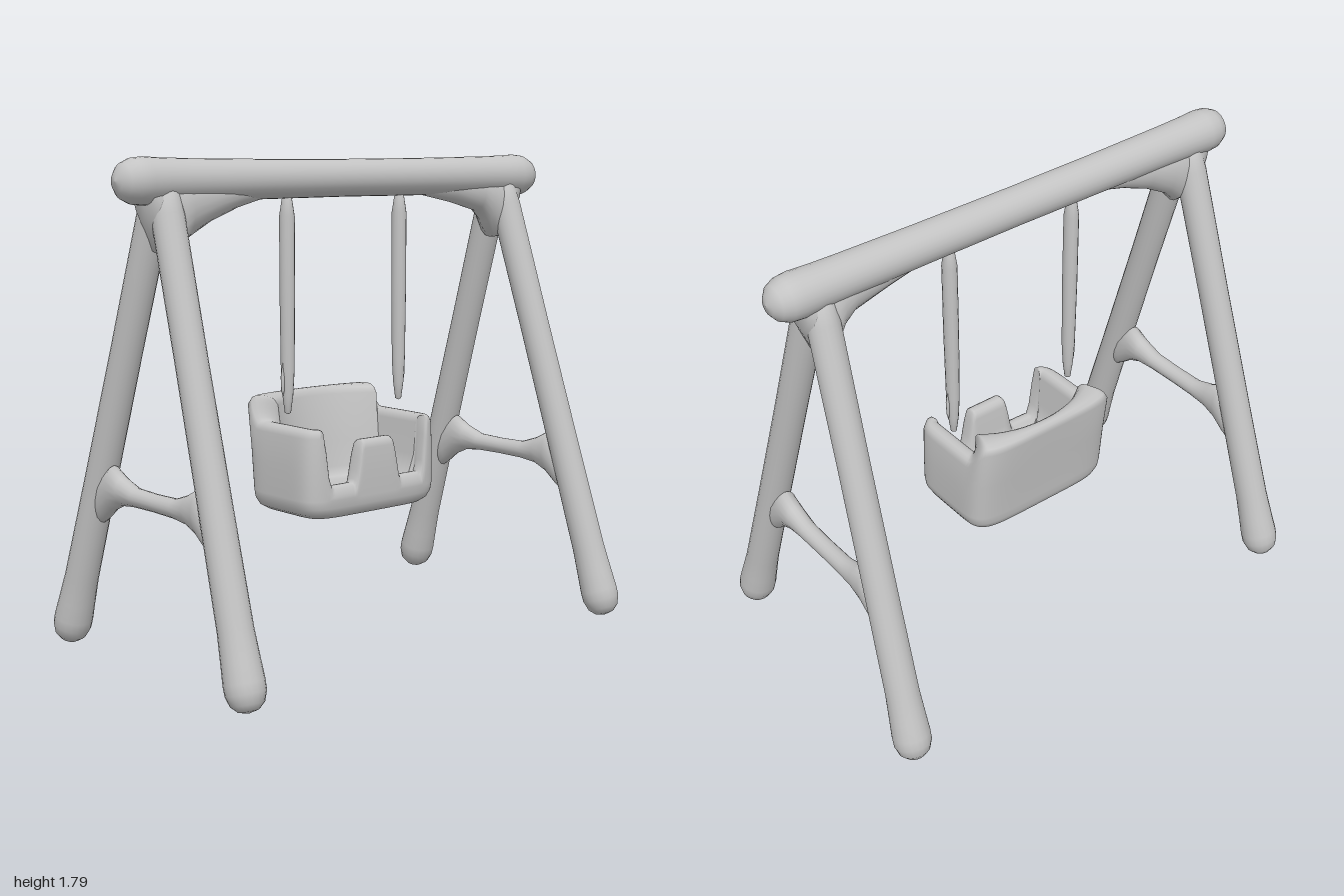
import * as THREE from 'three';

const V = (x, y, z) => new THREE.Vector3(x, y, z);
const smooth = (v, a, b) => THREE.MathUtils.smoothstep(v, a, b);

// Skin closed rings of points, fanning both ends shut
function loft(rings) {
  const n = rings[0].length, pos = [], idx = [];
  rings.forEach(r => r.forEach(p => pos.push(p.x, p.y, p.z)));
  for (let i = 0; i < rings.length - 1; i++) {
    for (let j = 0; j < n; j++) {
      const k = (j + 1) % n, a = i * n + j, b = i * n + k, c = b + n, d = a + n;
      idx.push(a, b, c, a, c, d);
    }
  }
  [0, rings.length - 1].forEach((i, end) => {
    const centre = rings[i].reduce((s, p) => s.add(p), V(0, 0, 0)).divideScalar(n);
    const c = pos.length / 3;
    pos.push(centre.x, centre.y, centre.z);
    for (let j = 0; j < n; j++) {
      const a = i * n + j, b = i * n + (j + 1) % n;
      if (end) idx.push(a, b, c); else idx.push(b, a, c);
    }
  });
  const g = new THREE.BufferGeometry();
  g.setAttribute('position', new THREE.Float32BufferAttribute(pos, 3));
  g.setIndex(idx);
  g.computeVertexNormals();
  return g;
}

// Ring from a function of angle
const ring = (n, f) => Array.from({ length: n }, (_, j) => f(j / n * Math.PI * 2));

// Turned rod: profile of [radius, height]
const turned = (profile, sides = 20) =>
  new THREE.LatheGeometry(profile.map(([r, y]) => new THREE.Vector2(r, y)), sides);

// Bucket seat: outer shell, rounded rim of varying height, hollow inside
function seatGeometry() {
  const n = 192, A = 0.32, B = 0.2, E = 6;
  const outline = ring(n, t => {
    const s = Math.sin(t), c = Math.cos(t);
    const r = Math.pow(Math.pow(Math.abs(s) / A, E) + Math.pow(Math.abs(c) / B, E), -1 / E);
    const x = r * s, z = r * c, ax = Math.abs(x);
    let h = 0.82 + 0.09 * smooth(-z, 0.1, 0.18);
    if (z > 0.12) {
      // leg openings either side of the front post
      h = ax < 0.16 ? 0.765 - 0.155 * smooth(ax, 0.07, 0.115)
        : 0.61 + 0.21 * smooth(ax, 0.225, 0.265);
    }
    const inner = {
      x: THREE.MathUtils.clamp(x, -0.245, 0.245),
      z: THREE.MathUtils.clamp(z, -0.14 + 0.07 * Math.pow(Math.min(ax, 0.245) / 0.245, 2), 0.135)
    };
    return { x, z, h, inner };
  });
  const lean = (z, y) => z - 0.04 * smooth(-z, 0, 0.14) * smooth(y, 0.6, 0.88);
  const outer = (scale, fy) => outline.map(o => {
    const y = fy(o.h);
    return V(o.x * scale, y, lean(o.z * scale, y));
  });
  const across = (k, drop) => outline.map(o => {
    const y = o.h - drop;
    return V(THREE.MathUtils.lerp(o.x * 0.98, o.inner.x, k), y,
      lean(THREE.MathUtils.lerp(o.z, o.inner.z, k), y));
  });
  const inside = (scale, fy) => outline.map(o => V(o.inner.x * scale, fy(o.h), o.inner.z * scale));
  return loft([
    outer(0.5, () => 0.488), outer(0.86, () => 0.49), outer(0.94, () => 0.505),
    outer(0.985, () => 0.53), outer(1, () => 0.56),
    outer(1, h => 0.56 + (h - 0.59) * 0.5), outer(0.99, h => h - 0.03),
    across(0.12, 0.009), across(0.3, 0.001), across(0.5, 0), across(0.7, 0.001),
    across(0.88, 0.009), across(1, 0.03),
    inside(0.97, h => 0.58 + (h - 0.6) * 0.4), inside(0.9, h => 0.575 + (h - 0.6) * 0.1),
    inside(0.75, () => 0.572), inside(0.4, () => 0.57)
  ]);
}

export function createModel() {
  const model = new THREE.Group();
  const grey = new THREE.MeshStandardMaterial({ color: 0xc4c4c4 });
  grey.name = 'light grey';
  const add = (name, geometry) => {
    const m = new THREE.Mesh(geometry, grey);
    m.name = name;
    model.add(m);
    return m;
  };

  // Top beam with swollen rounded ends
  const half = [[0, 1], [0.035, 0.992], [0.062, 0.97], [0.078, 0.935], [0.082, 0.89],
    [0.078, 0.82], [0.075, 0.7], [0.071, 0.4]];
  const beamProfile = [...half.map(([r, y]) => [r, -y]), [0.069, 0], ...[...half].reverse()];
  const beam = add('topBeam', turned(beamProfile, 24));
  beam.rotation.z = -Math.PI / 2;
  beam.position.y = 1.713;

  for (const side of [-1, 1]) {
    const label = side > 0 ? 'left' : 'right';

    // Splayed legs with bulbous feet
    for (const front of [-1, 1]) {
      const foot = V(side * 0.88, 0.073, front * 0.527), top = V(side * 0.815, 1.69, front * 0.012);
      const dir = top.clone().sub(foot), L = dir.length();
      const leg = add(label + (front > 0 ? 'FrontLeg' : 'BackLeg'), turned([
        [0, -0.07], [0.035, -0.062], [0.058, -0.04], [0.07, -0.005], [0.071, 0.03],
        [0.067, 0.1], [0.062, 0.2], [0.059, 0.6], [0.057, 1.1], [0.058, L - 0.1],
        [0.05, L], [0, L + 0.01]]));
      leg.position.copy(foot);
      leg.quaternion.setFromUnitVectors(V(0, 1, 0), dir.normalize());
    }

    // Cross brace flaring into the legs: [z, bottom, top, half width]
    const flare = [[0.37, 0.46, 0.59, 0.035], [0.31, 0.5, 0.67, 0.045], [0.26, 0.54, 0.705, 0.045],
      [0.2, 0.567, 0.672, 0.04], [0.12, 0.576, 0.645, 0.035]];
    const stations = [...flare.map(([z, ...r]) => [-z, ...r]), [0, 0.578, 0.642, 0.034],
      ...[...flare].reverse()];
    add(label + 'CrossBrace', loft(stations.map(([z, lo, hi, w]) => ring(16, t =>
      V(side * 0.857 + w * Math.cos(t), (lo + hi) / 2 + (hi - lo) / 2 * Math.sin(t), z)))));

    // Gusset blending leg into beam: [x, bottom, half depth]
    const web = side > 0
      ? [[0.36, 1.65, 0.03], [0.55, 1.612, 0.05], [0.69, 1.575, 0.06], [0.74, 1.53, 0.068],
        [0.77, 1.47, 0.075], [0.84, 1.47, 0.075], [0.885, 1.58, 0.06]]
      : [[0.36, 1.65, 0.03], [0.5, 1.615, 0.05], [0.62, 1.57, 0.06], [0.72, 1.515, 0.068],
        [0.76, 1.47, 0.075], [0.84, 1.47, 0.075], [0.885, 1.58, 0.06]];
    const ordered = side > 0 ? web : [...web].reverse();
    add(label + 'Gusset', loft(ordered.map(([x, lo, w]) => ring(20, t =>
      V(side * x, (lo + 1.73) / 2 + (1.73 - lo) / 2 * Math.cos(t), w * Math.sin(t))))));

    // Hanging strap, tapered at both ends
    const strap = add(label + 'Strap', turned([[0, 0.86], [0.011, 0.866], [0.019, 0.93], [0.024, 1.02],
      [0.027, 1.3], [0.027, 1.58], [0.018, 1.64], [0, 1.69]], 14));
    strap.scale.z = 1.1;
    strap.position.set(side * 0.274, 0, 0.004);

    // Frayed outer end of the strap
    const tip = add(label + 'StrapTip', turned([[0, 0.925], [0.006, 0.95], [0.008, 1], [0, 1.06]], 8));
    tip.position.set(side * 0.297, 0, 0.004);
  }

  add('bucketSeat', seatGeometry());
  return model;
}
